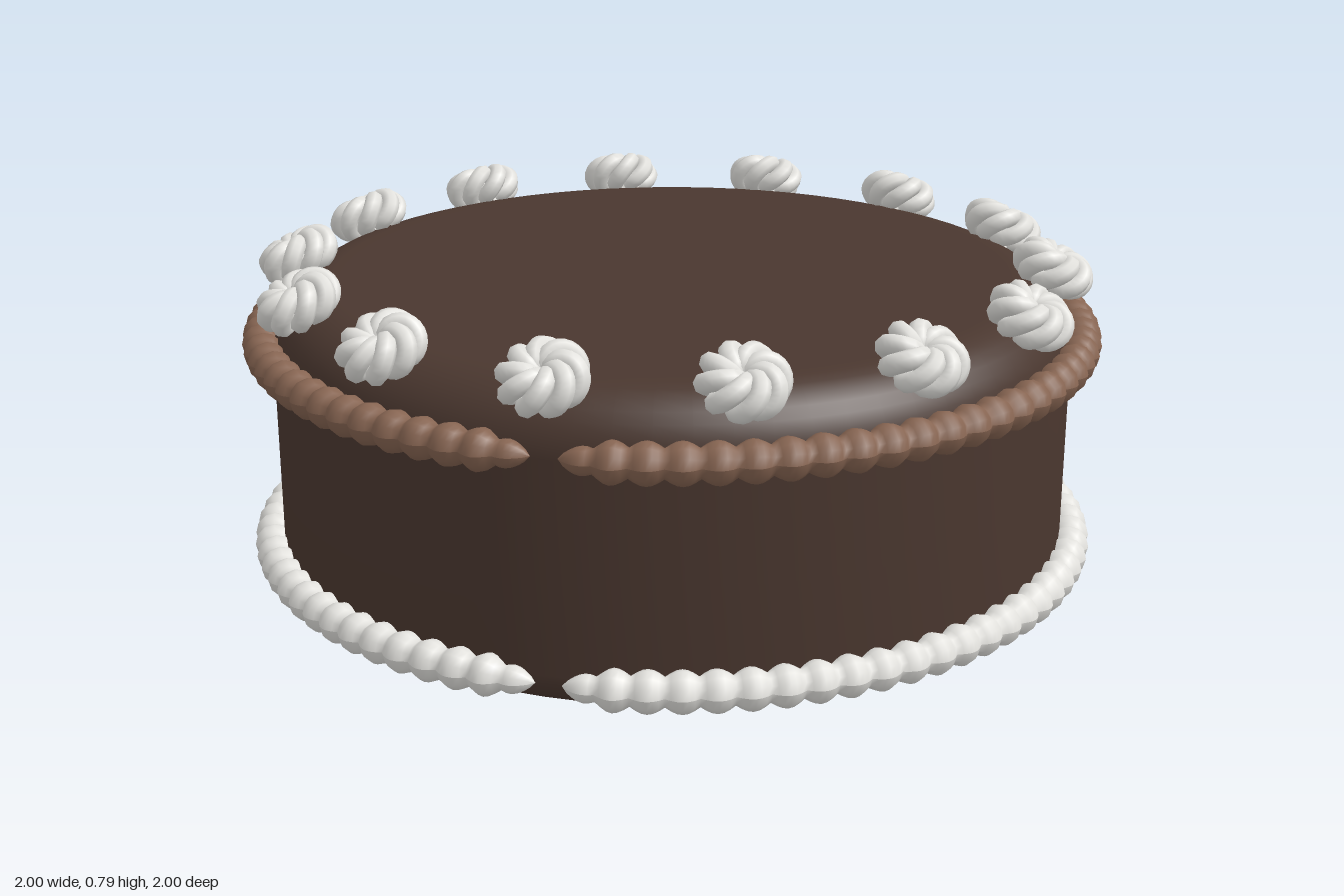
import * as THREE from 'three';
import { mergeGeometries } from 'three/addons/utils/BufferGeometryUtils.js';

const mat = (name, color, side = THREE.FrontSide) => {
  const m = new THREE.MeshStandardMaterial({ color, side });
  m.name = name;
  return m;
};
const chocolate = mat('dark chocolate', 0x4a372f);
const milk = mat('milk chocolate', 0x876552);
const cream = mat('white cream', 0xe2e1dd, THREE.DoubleSide);
const board = mat('grey base', 0xa8a69e);

function addMesh(parent, name, geometry, material) {
  const mesh = new THREE.Mesh(geometry, material);
  mesh.name = name;
  parent.add(mesh);
  return mesh;
}

// Piped string of beads: an almost closed ring whose thickness pulses
function beadRing() {
  const R = 0.953, beads = 84, perBead = 6;
  const start = THREE.MathUtils.degToRad(64.6), arc = THREE.MathUtils.degToRad(356.6);
  const g = new THREE.TorusGeometry(R, 1, 12, beads * perBead, arc);
  const p = g.attributes.position, uv = g.attributes.uv;
  for (let i = 0; i < p.count; i++) {
    const u = uv.getX(i), v = uv.getY(i) * Math.PI * 2;
    const end = Math.min(u, 1 - u) * beads;
    const taper = Math.min(1, Math.sqrt(end * 0.7));
    const r = (0.031 + 0.015 * Math.abs(Math.sin(u * beads * Math.PI))) * taper;
    const a = start + u * arc;
    const d = R + r * Math.cos(v);
    p.setXYZ(i, d * Math.cos(a), d * Math.sin(a), r * Math.sin(v));
  }
  g.computeVertexNormals();
  return g.rotateX(Math.PI / 2);
}

// Swirled rosette: rope strands rolling over a small ring
function rosette() {
  const strands = 8, parts = [];
  for (let s = 0; s < strands; s++) {
    const pts = [];
    for (let k = 0; k <= 8; k++) {
      const phi = THREE.MathUtils.lerp(-1.7, 3.5, k / 8);
      const a = (s / strands) * Math.PI * 2 + phi * 0.33;
      const d = 0.047 + 0.031 * Math.cos(phi);
      pts.push(new THREE.Vector3(d * Math.sin(a), 0.03 * Math.sin(phi), d * Math.cos(a)));
    }
    parts.push(new THREE.TubeGeometry(new THREE.CatmullRomCurve3(pts), 18, 0.022, 8));
  }
  return mergeGeometries(parts);
}

export function createModel() {
  const cake = new THREE.Group();
  cake.name = 'cake';

  // Cake body with rounded top and bottom rims
  const profile = [new THREE.Vector2(0, 0.004), new THREE.Vector2(0.62, 0.004), new THREE.Vector2(0.82, 0.006)];
  for (let i = 0; i <= 6; i++) {
    const a = (i / 6) * Math.PI / 2;
    profile.push(new THREE.Vector2(0.85 + 0.08 * Math.sin(a), 0.088 - 0.08 * Math.cos(a)));
  }
  profile.push(new THREE.Vector2(0.93, 0.3));
  for (let i = 0; i <= 8; i++) {
    const a = (i / 8) * Math.PI / 2;
    profile.push(new THREE.Vector2(0.79 + 0.14 * Math.cos(a), 0.56 + 0.14 * Math.sin(a)));
  }
  profile.push(new THREE.Vector2(0.7, 0.7), new THREE.Vector2(0, 0.7));
  addMesh(cake, 'cakeBody', new THREE.LatheGeometry(profile, 72), chocolate);

  // Base disc on the underside
  addMesh(cake, 'baseDisc', new THREE.CircleGeometry(0.62, 24).rotateX(Math.PI / 2), board);

  // Piped borders
  const ring = beadRing();
  addMesh(cake, 'upperBorder', ring, milk).position.y = 0.575;
  addMesh(cake, 'lowerBorder', ring, cream).position.y = 0.082;

  // Rosettes around the top rim, leaning outward
  const swirl = rosette();
  const rosettes = new THREE.Group();
  rosettes.name = 'rosettes';
  for (let i = 0; i < 14; i++) {
    const holder = new THREE.Group();
    holder.name = 'rosette' + (i + 1);
    holder.rotation.y = (i / 14) * Math.PI * 2;
    const m = addMesh(holder, 'rosetteSwirl', swirl, cream);
    m.position.set(0, 0.717, 0.885);
    m.rotation.x = 0.43;
    rosettes.add(holder);
  }
  cake.add(rosettes);
  return cake;
}
